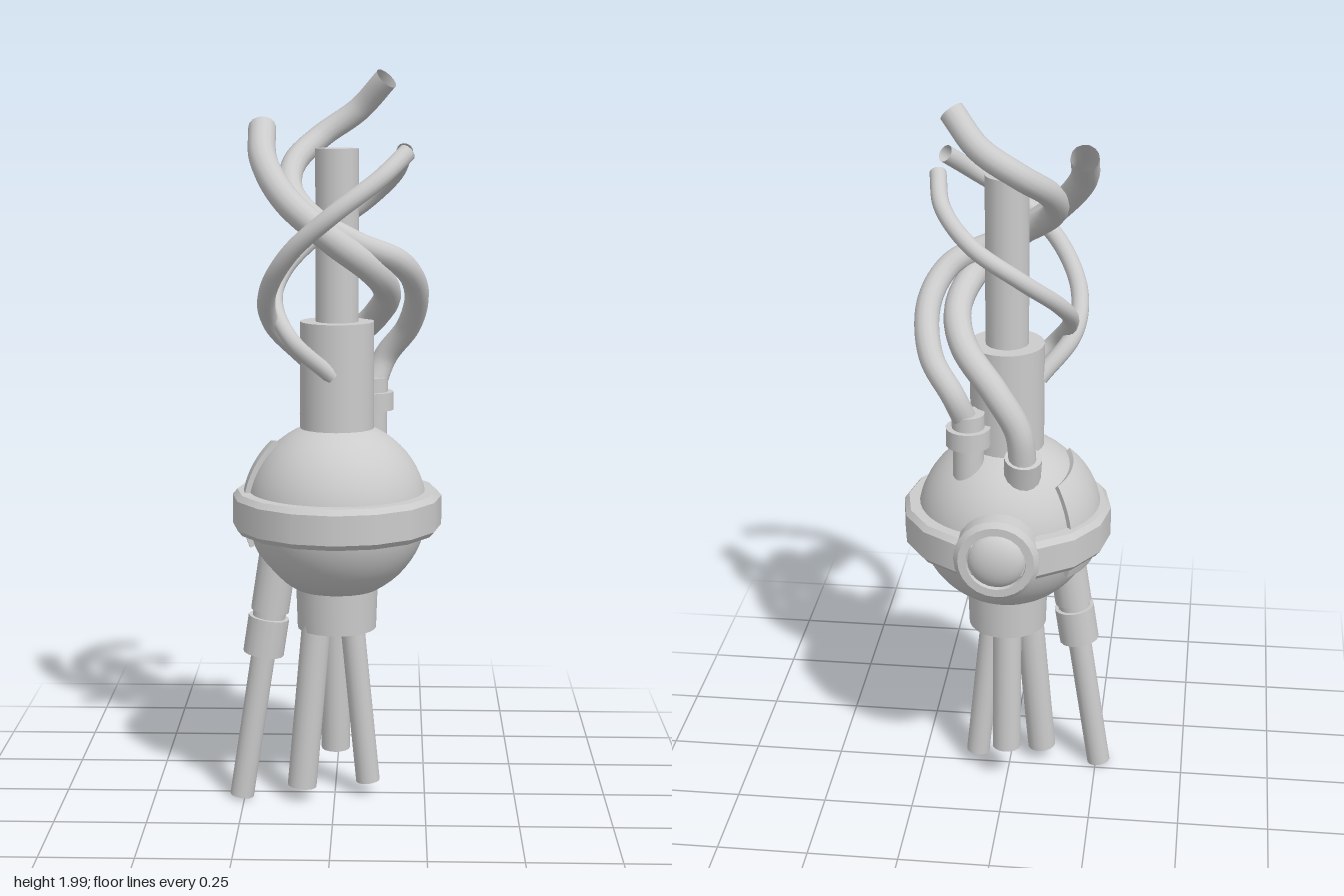
import * as THREE from 'three';

const CX = 0.005, CY = 0.815, CZ = -0.005; // centre of the round body
const v = (x, y, z) => new THREE.Vector3(x, y, z);
const grey = () => new THREE.MeshStandardMaterial({ color: 0xcccccc, side: THREE.DoubleSide });

export function createModel() {
  const model = new THREE.Group();

  const add = (name, geometry) => {
    const mesh = new THREE.Mesh(geometry, grey());
    mesh.name = name;
    model.add(mesh);
    return mesh;
  };

  // Cylinder running from point a to point b
  const rod = (name, a, b, ra, rb = ra, sides = 16) => {
    const mesh = add(name, new THREE.CylinderGeometry(rb, ra, a.distanceTo(b), sides));
    mesh.position.lerpVectors(a, b, 0.5);
    mesh.quaternion.setFromUnitVectors(v(0, 1, 0), b.clone().sub(a).normalize());
    return mesh;
  };

  // Upright solid turned from [radius, height] points, with crisp edges
  const turned = (name, points, sides, x, z) => {
    for (let i = 0; i < points.length - 1; i++) {
      const pair = [points[i], points[i + 1]].map(([r, y]) => new THREE.Vector2(r, y));
      add(name, new THREE.LatheGeometry(pair, sides)).position.set(x, 0, z);
    }
  };

  // Body and equator band
  add('body', new THREE.SphereGeometry(0.246, 48, 32)).position.set(CX, CY, CZ);
  turned('equatorBand', [[0.24, 0.76], [0.272, 0.76], [0.285, 0.775], [0.285, 0.855],
    [0.272, 0.87], [0.24, 0.87]], 16, CX, CZ);

  // Neck, central post and base collar
  rod('neck', v(CX, 1.03, -0.008), v(CX, 1.33, -0.008), 0.1, 0.1, 24);
  rod('centralPost', v(CX, 1.3, -0.008), v(CX, 1.79, -0.008), 0.058);
  rod('baseCollar', v(CX, 0.485, 0), v(CX, 0.6, 0), 0.108, 0.112, 24);

  // Raised panel wrapped over the side of the body
  const panel = new THREE.BoxGeometry(1, 1, 1, 12, 16, 1);
  const p = panel.attributes.position;
  for (let i = 0; i < p.count; i++) {
    const u = p.getX(i) + 0.5, w = 0.5 - p.getY(i);
    const azimuth = THREE.MathUtils.degToRad(-42 + 56 * u);
    const top = 51 - 10 * u;
    const polar = THREE.MathUtils.degToRad(top + (112 - top) * w);
    const r = 0.249 + 0.022 * p.getZ(i);
    p.setXYZ(i, -r * Math.sin(polar) * Math.cos(azimuth), r * Math.cos(polar),
      r * Math.sin(polar) * Math.sin(azimuth));
  }
  panel.computeVertexNormals();
  add('sidePanel', panel).position.set(CX, CY, CZ);

  // Rear port: bevelled ring with a domed lens
  const ringProfile = [[0.1, 0.2], [0.115, 0.2], [0.115, 0.27], [0.102, 0.284], [0.08, 0.284], [0.076, 0.26]];
  for (let i = 0; i < ringProfile.length - 1; i++) {
    const pair = ringProfile.slice(i, i + 2).map(([r, y]) => new THREE.Vector2(r, y));
    const ring = add('rearPortRing', new THREE.LatheGeometry(pair, 24));
    ring.rotation.x = -Math.PI / 2;
    ring.position.set(CX, CY, 0);
  }
  const lens = add('rearLens', new THREE.SphereGeometry(0.08, 24, 10, 0, Math.PI * 2, 0, Math.PI / 2));
  lens.rotation.x = -Math.PI / 2;
  lens.scale.y = 0.55;
  lens.position.set(CX, CY, -0.262);

  // Three splayed legs
  rod('legRight', v(-0.09, 0.042, 0.05), v(-0.048, 0.52, 0.04), 0.04);
  rod('legLeft', v(0.092, 0.042, 0.003), v(0.045, 0.52, 0.01), 0.033);
  rod('legBack', v(0.0, 0.112, -0.073), v(0.0, 0.52, -0.055), 0.04);

  // Side pipe with its coupling
  const foot = v(-0.258, 0.009, 0.037), head = v(-0.15, 0.72, 0.035);
  const along = (t) => foot.clone().lerp(head, t);
  rod('sidePipe', along(0), along(0.62), 0.033);
  rod('sidePipeCoupling', along(0.575), along(0.72), 0.056);
  rod('sidePipeGroove', along(0.71), along(0.76), 0.045);
  rod('sidePipeSocket', along(0.745), along(1), 0.052);

  // Hose sockets on top of the body
  turned('leftSocket', [[0.042, 0.97], [0.042, 1.075], [0.06, 1.075], [0.06, 1.125],
    [0.044, 1.125], [0.044, 1.165], [0, 1.165]], 20, 0.098, -0.107);
  rod('backSocket', v(-0.045, 0.95, -0.12), v(-0.053, 1.06, -0.148), 0.05);

  // Hoses spiralling around the post, listed from the free end down
  const hoses = [
    ['tallHose', 0.033, [[0.135, 1.972, -0.09], [0.06, 1.89, -0.135], [-0.04, 1.82, -0.125],
      [-0.11, 1.75, -0.045], [-0.115, 1.68, 0.04], [-0.05, 1.61, 0.12], [0.06, 1.55, 0.15],
      [0.17, 1.5, 0.11], [0.217, 1.42, 0.02], [0.198, 1.31, -0.08], [0.135, 1.22, -0.125], [0.1, 1.13, -0.107]]],
    ['wideHose', 0.037, [[-0.195, 1.845, -0.03], [-0.185, 1.76, 0.07], [-0.12, 1.66, 0.16],
      [0, 1.56, 0.195], [0.1, 1.48, 0.14], [0.14, 1.41, 0.03], [0.11, 1.34, -0.08],
      [0.02, 1.24, -0.145], [-0.04, 1.14, -0.157], [-0.053, 1.03, -0.148]]],
    ['frontThinHose', 0.024, [[0.19, 1.785, 0.175], [0.12, 1.72, 0.238], [0, 1.63, 0.276],
      [-0.11, 1.53, 0.24], [-0.172, 1.42, 0.16], [-0.165, 1.33, 0.07], [-0.08, 1.23, 0]]],
    ['backThinHose', 0.022, [[0.185, 1.785, 0.005], [0.16, 1.72, -0.09], [0.08, 1.64, -0.15],
      [-0.05, 1.55, -0.148], [-0.14, 1.46, -0.07], [-0.16, 1.38, 0.03], [-0.11, 1.29, 0.11], [-0.005, 1.19, 0.075]]],
  ];
  for (const [name, radius, points] of hoses) {
    const curve = new THREE.CatmullRomCurve3(points.map((q) => v(...q)));
    add(name, new THREE.TubeGeometry(curve, 80, radius, 14));
  }

  return model;
}
